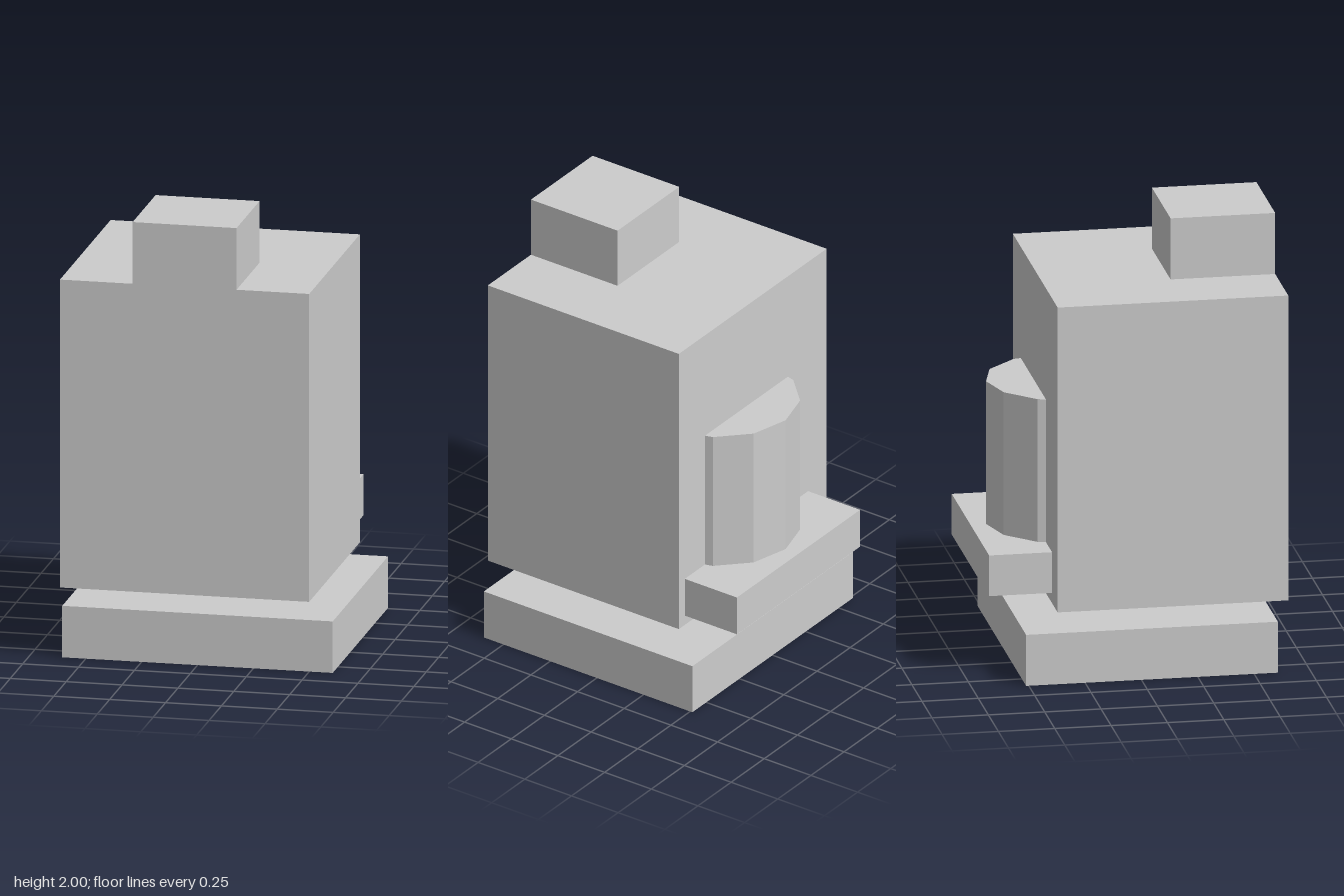
import * as THREE from 'three';

const grey = new THREE.MeshStandardMaterial({ color: 0xcccccc, flatShading: true });
grey.name = 'plain grey';

// Box given by its lower and upper limits on each axis
function block(name, [x0, x1], [y0, y1], [z0, z1]) {
  const mesh = new THREE.Mesh(new THREE.BoxGeometry(x1 - x0, y1 - y0, z1 - z0), grey);
  mesh.position.set((x0 + x1) / 2, (y0 + y1) / 2, (z0 + z1) / 2);
  mesh.name = name;
  return mesh;
}

export function createModel() {
  const model = new THREE.Group();
  model.name = 'blockTower';

  // Base slab, floating main body, top block at the front edge, ledge at the back
  model.add(
    block('baseSlab', [-0.605, 0.605], [0, 0.233], [-0.512, 0.605]),
    block('mainBody', [-0.605, 0.51], [0.328, 1.721], [-0.372, 0.651]),
    block('topBlock', [-0.28, 0.185], [1.721, 2], [0.187, 0.651]),
    block('backLedge', [-0.465, 0.465], [0.375, 0.561], [-0.651, -0.372])
  );

  // Twelve-sided drum half sunk into the back, standing on the ledge
  const drum = new THREE.Mesh(new THREE.CylinderGeometry(0.35, 0.35, 0.652, 12), grey);
  drum.position.set(0, 0.887, -0.232);
  drum.name = 'backDrum';
  model.add(drum);

  return model;
}
